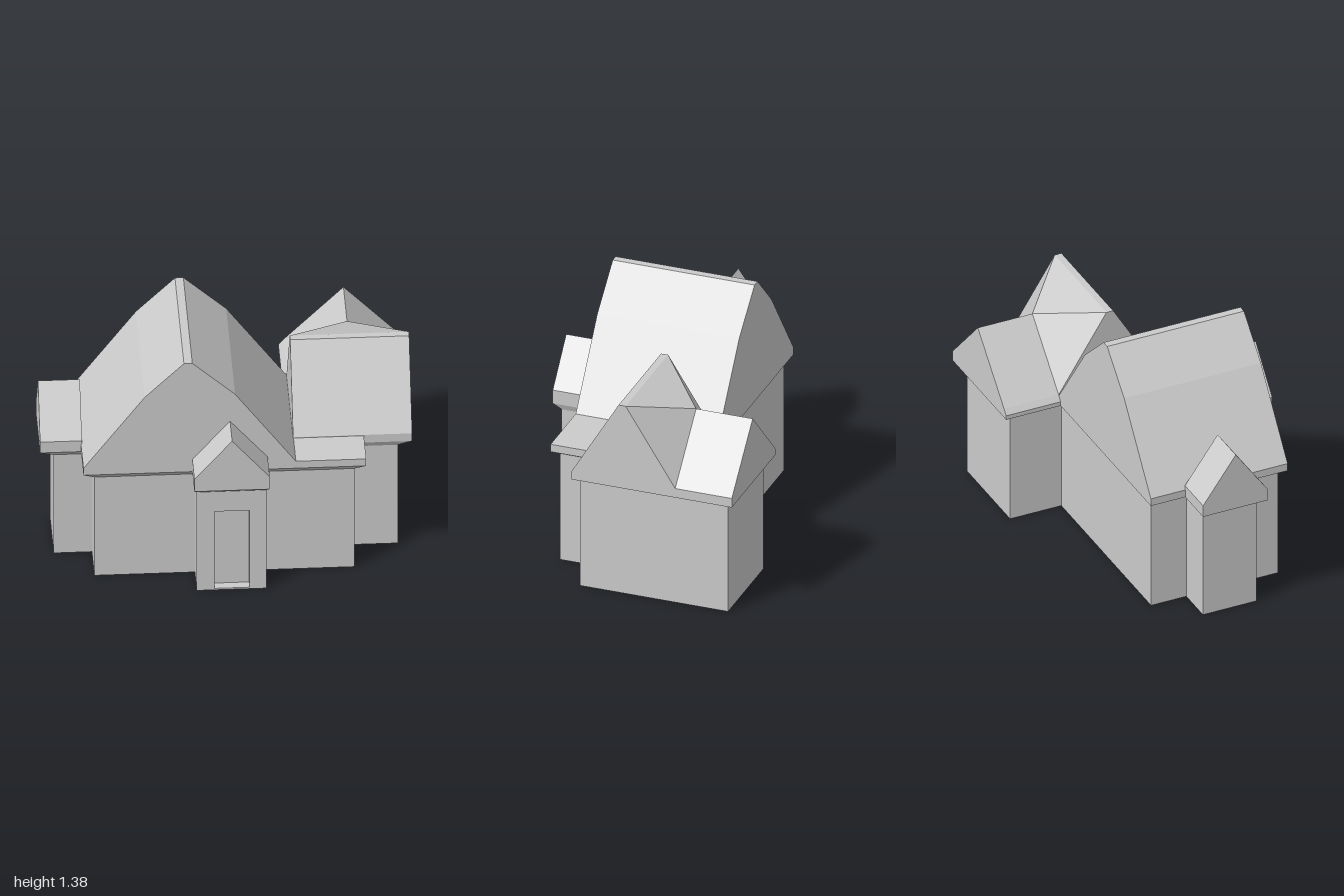
import * as THREE from 'three';

const WALL = 0.64, EAVE = 0.675;
const material = new THREE.MeshStandardMaterial({ color: 0xcccccc, flatShading: true });

function add(group, name, geometry) {
  const mesh = new THREE.Mesh(geometry, material);
  mesh.name = name;
  group.add(mesh);
}

function shapeOf(points) {
  return new THREE.Shape(points.map(([a, b]) => new THREE.Vector2(a, b)));
}

// Profile in (x, y), extruded from z0 to z1
function prismZ(points, z0, z1) {
  return new THREE.ExtrudeGeometry(shapeOf(points), { depth: z1 - z0, bevelEnabled: false }).translate(0, 0, z0);
}

// Profile in (z, y), extruded from x0 to x1
function prismX(points, x0, x1) {
  const geometry = new THREE.ExtrudeGeometry(shapeOf(points.map(([z, y]) => [-z, y])), { depth: x1 - x0, bevelEnabled: false });
  return geometry.rotateY(Math.PI / 2).translate(x0, 0, 0);
}

// Block between a lower and an upper rectangle, each [x0, x1, z0, z1]
function block(low, high, y0, y1) {
  const geometry = new THREE.BoxGeometry(1, 1, 1);
  const p = geometry.attributes.position;
  for (let i = 0; i < p.count; i++) {
    const r = p.getY(i) > 0 ? high : low;
    p.setXYZ(i, p.getX(i) < 0 ? r[0] : r[1], p.getY(i) > 0 ? y1 : y0, p.getZ(i) < 0 ? r[2] : r[3]);
  }
  geometry.computeVertexNormals();
  return geometry;
}

// Flat polygons (counter-clockwise from outside), fanned into triangles
function polygons(faces) {
  const v = [];
  for (const f of faces) {
    for (let i = 1; i < f.length - 1; i++) v.push(...f[0], ...f[i], ...f[i + 1]);
  }
  const geometry = new THREE.BufferGeometry();
  geometry.setAttribute('position', new THREE.Float32BufferAttribute(v, 3));
  geometry.computeVertexNormals();
  return geometry;
}

export function createModel() {
  const house = new THREE.Group();
  house.name = 'house';

  // Walls with flared eaves: wall footprint, then eave footprint
  const blocks = {
    main: [[-0.72, 0.68, -0.31, 0.445], [-0.78, 0.74, -0.34, 0.475]],
    rightWing: [[0.39, 0.925, -0.615, 0.235], [0.335, 1, -0.665, 0.255]],
    leftWing: [[-0.925, -0.6, -0.1, 0.22], [-1, -0.6, -0.135, 0.25]],
  };
  for (const [name, [wall, eave]] of Object.entries(blocks)) {
    add(house, name + 'Walls', block(wall, wall, 0, WALL));
    add(house, name + 'Eaves', block(wall, eave, WALL, EAVE));
  }

  // Main roof, with a low flat shelf to the side
  add(house, 'mainRoof', prismZ([
    [-0.78, EAVE], [0.37, EAVE], [0.362, 0.72], [0.035, 1.17], [-0.195, 1.38],
    [-0.24, 1.38], [-0.45, 1.17], [-0.78, 0.72],
  ], -0.34, 0.475));
  add(house, 'sideShelf', block([0.35, 0.74, 0, 0.475], [0.35, 0.74, 0, 0.475], EAVE, 0.72));

  // Left wing roof
  add(house, 'leftWingRoof', prismX([
    [0.25, EAVE], [-0.135, EAVE], [-0.135, 0.745], [0.06, 1.015], [0.25, 0.745],
  ], -1, -0.775));

  // Right wing: rear gable, and the front gable whose back slope meets its peak
  add(house, 'rearGableRoof', prismZ([
    [0.335, EAVE], [1, EAVE], [1, 0.73], [0.685, 1.06], [0.36, 0.73], [0.335, 0.7],
  ], -0.665, -0.34));
  const L = 0.36, R = 1;
  const profile = (x) => [[x, EAVE, 0.255], [x, EAVE, -0.34], [x, 0.73, -0.34],
    [x, 1.175, -0.055], [x, 1.175, -0.015], [x, 0.725, 0.255]];
  const left = profile(L), right = profile(R);
  const peak = [0.685, 1.06, -0.34], ridgeMid = [0.74, 1.175, -0.055];
  add(house, 'rightWingRoof', polygons([
    right, left.slice().reverse(),
    [left[0], right[0], right[5], left[5]],
    [left[5], right[5], right[4], left[4]],
    [left[4], right[4], right[3], left[3]],
    [peak, left[2], left[3], ridgeMid],
    [peak, ridgeMid, right[3], right[2]],
    [left[1], left[2], peak, right[2], right[1]],
    [left[0], left[1], right[1], right[0]],
  ]));

  // Porch with a recessed doorway
  const porch = [-0.18, 0.195, 0.4, 0.62];
  const porchFront = shapeOf([[-0.18, 0], [0.195, 0], [0.195, WALL], [-0.18, WALL]]);
  porchFront.holes.push(new THREE.Path([[-0.085, 0.01], [-0.085, 0.51], [0.105, 0.51], [0.105, 0.01]]
    .map(([x, y]) => new THREE.Vector2(x, y))));
  const porchBody = [-0.18, 0.195, 0.4, 0.57];
  add(house, 'porchWalls', block(porchBody, porchBody, 0, WALL));
  add(house, 'doorFrame', new THREE.ExtrudeGeometry(porchFront, { depth: 0.05, bevelEnabled: false }).translate(0, 0, 0.57));
  add(house, 'porchEaves', block(porch, [-0.195, 0.21, 0.4, 0.665], WALL, EAVE));
  add(house, 'porchRoof', prismZ([
    [-0.195, EAVE], [0.21, EAVE], [0.21, 0.755], [0.008, 0.995], [-0.195, 0.755],
  ], 0.45, 0.665));

  return house;
}
